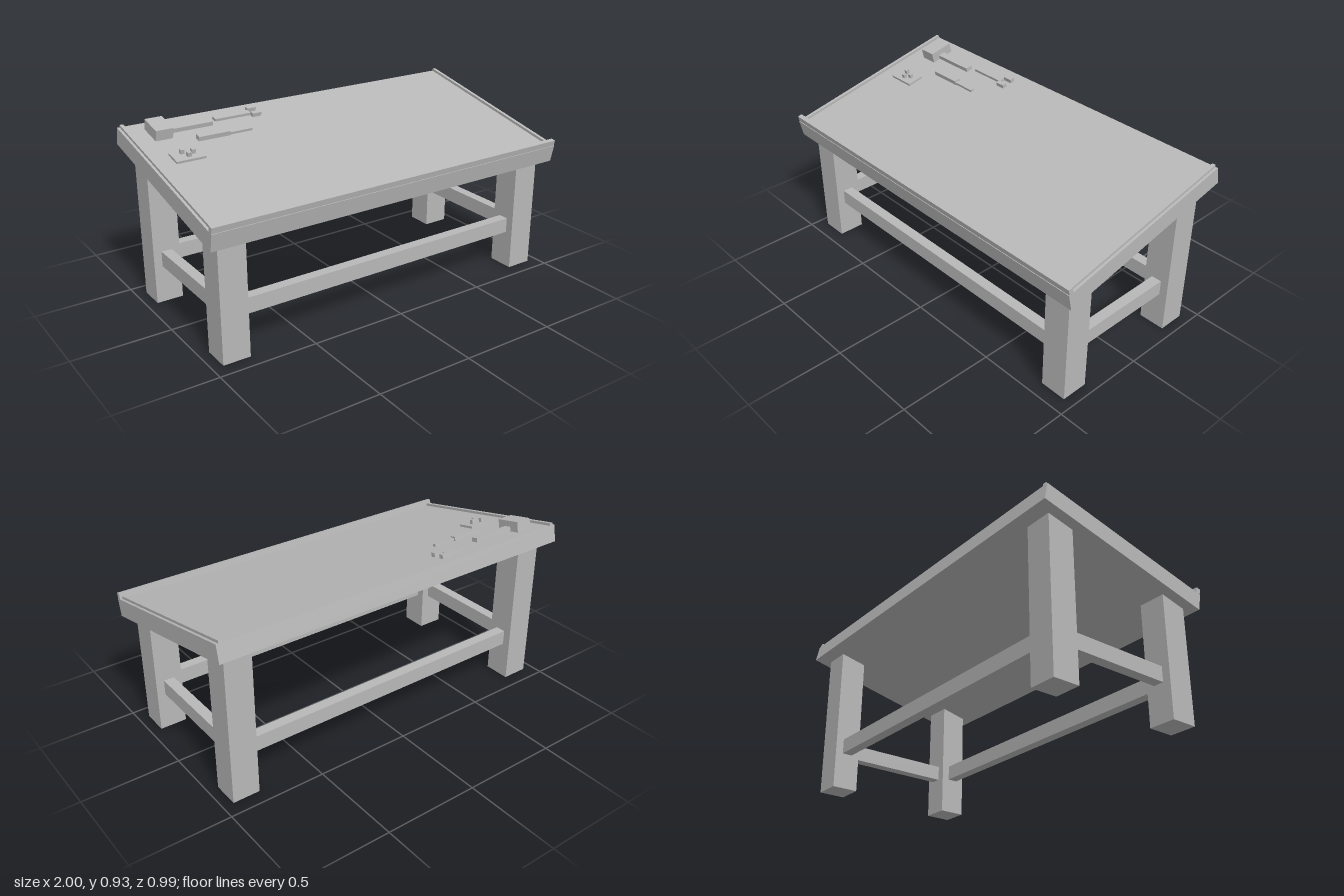
import * as THREE from 'three';

export function createModel() {
  const model = new THREE.Group();
  model.name = 'slopedWorkbench';
  const grey = new THREE.MeshStandardMaterial({ color: 0xb8b8b8 });
  grey.name = 'plain grey';

  // Box given by its extents on each axis
  const box = (parent, name, [x0, x1], [y0, y1], [z0, z1]) => {
    const mesh = new THREE.Mesh(new THREE.BoxGeometry(x1 - x0, y1 - y0, z1 - z0), grey);
    mesh.position.set((x0 + x1) / 2, (y0 + y1) / 2, (z0 + z1) / 2);
    mesh.name = name;
    parent.add(mesh);
    return mesh;
  };
  const around = (c, size) => [c - size / 2, c + size / 2];

  // Square legs, the rear pair taller to meet the sloping top
  const legX = 0.875, legZ = 0.355, legSize = 0.14;
  for (const sx of [-1, 1]) {
    const side = sx > 0 ? 'left' : 'right';
    box(model, side + 'FrontLeg', around(sx * legX, legSize), [0, 0.66], around(legZ, legSize));
    box(model, side + 'RearLeg', around(sx * legX, legSize), [0, 0.81], around(-legZ, legSize));
    box(model, side + 'Stretcher', around(sx * legX, 0.055), [0.195, 0.275], [-0.285, 0.285]);
  }
  for (const sz of [-1, 1]) {
    box(model, sz > 0 ? 'frontStretcher' : 'rearStretcher',
      [-0.805, 0.805], [0.195, 0.275], around(sz * legZ, 0.055));
  }

  // Sloping top: everything on it is laid out in the tilted frame
  const top = new THREE.Group();
  top.name = 'slopingTop';
  top.position.y = 0.74;
  top.rotation.x = THREE.MathUtils.degToRad(12);
  model.add(top);
  const s = 0.045; // height of the work surface in the tilted frame
  box(top, 'board', [-1, 1], [-s, s], [-0.496, 0.496]);
  box(top, 'frontLedge', [-1, 1], [s, s + 0.03], [0.469, 0.493]);
  for (const sx of [-1, 1]) {
    box(top, 'sideRail', around(sx * 0.978, 0.018), [s, s + 0.013], [-0.496, 0.469]);
  }

  const tool = (name) => {
    const g = new THREE.Group();
    g.name = name;
    g.position.y = s;
    top.add(g);
    return g;
  };

  // Mallet
  const mallet = tool('mallet');
  box(mallet, 'malletHead', [-0.885, -0.795], [0, 0.055], [-0.437, -0.305]);
  box(mallet, 'malletHandle', [-0.795, -0.56], [0.002, 0.024], [-0.385, -0.348]);

  // Open-ended wrench
  const wrench = tool('wrench');
  box(wrench, 'wrenchShaft', [-0.53, -0.33], [0, 0.014], [-0.415, -0.382]);
  box(wrench, 'wrenchJaw', [-0.33, -0.28], [0, 0.021], [-0.44, -0.415]);
  box(wrench, 'wrenchJaw', [-0.33, -0.28], [0, 0.021], [-0.382, -0.357]);

  // Chisel
  const chisel = tool('chisel');
  box(chisel, 'chiselHandle', [-0.695, -0.525], [0, 0.023], [-0.262, -0.23]);
  box(chisel, 'chiselBlade', [-0.525, -0.4], [0.002, 0.015], [-0.252, -0.232]);

  // Small tray with loose pegs
  const tray = tool('pegTray');
  box(tray, 'trayPlate', [-0.885, -0.735], [0, 0.012], [-0.164, -0.074]);
  for (const [x, z] of [[-0.83, -0.139], [-0.81, -0.104], [-0.78, -0.124]]) {
    box(tray, 'peg', around(x, 0.02), [0.012, 0.034], around(z, 0.018));
  }
  return model;
}
